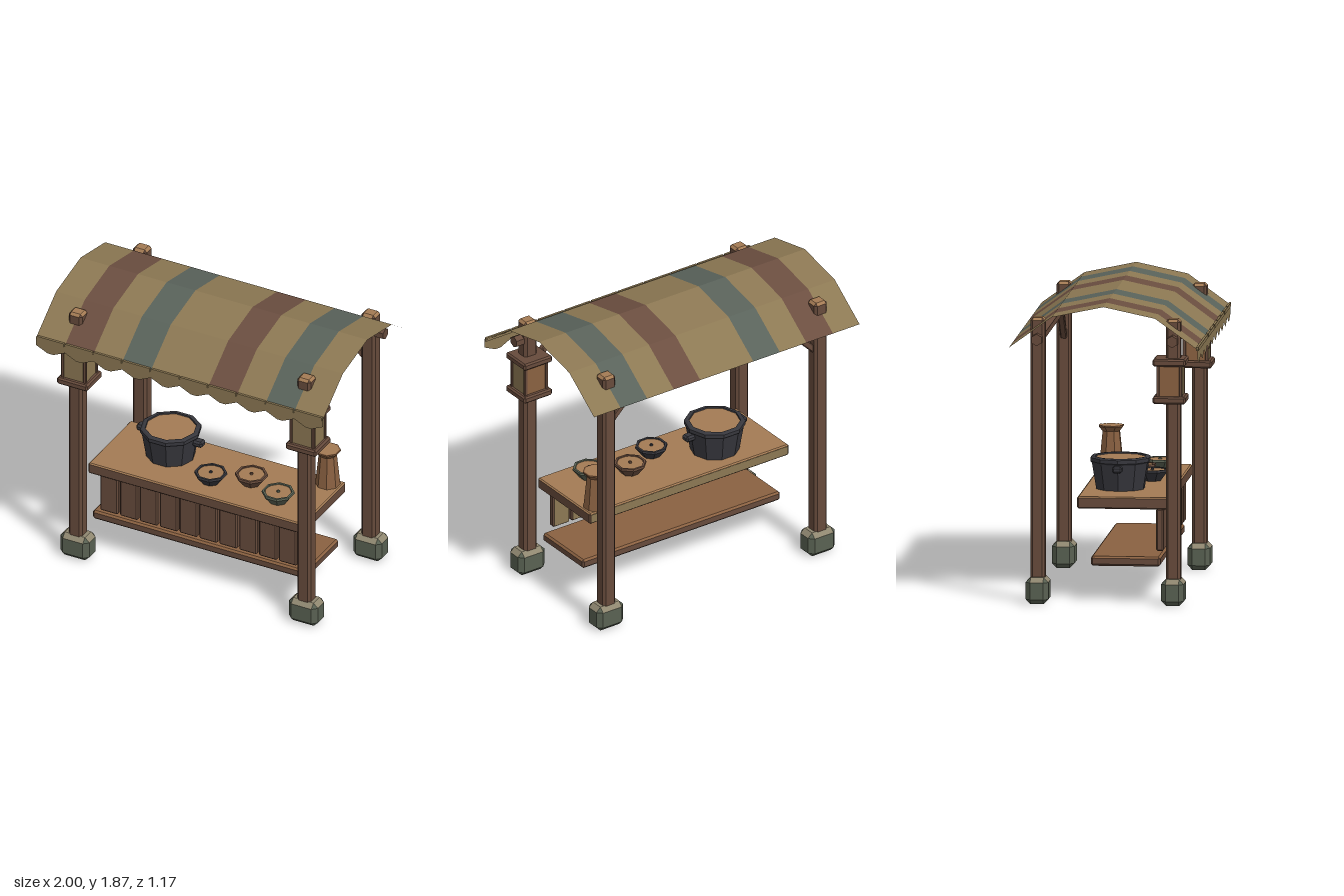
import * as THREE from 'three';
import { ConvexGeometry } from 'three/addons/geometries/ConvexGeometry.js';

const mat = (name, color, side = THREE.FrontSide) => {
  const m = new THREE.MeshStandardMaterial({ color, flatShading: true, side });
  m.name = name;
  return m;
};

export function createModel() {
  const root = new THREE.Group();
  root.name = 'marketStall';
  const tan = mat('tanCloth', 0x8c7853, THREE.DoubleSide);
  const red = mat('redBrownCloth', 0x6b4e40, THREE.DoubleSide);
  const green = mat('greenCloth', 0x59625a, THREE.DoubleSide);
  const wood = mat('darkWood', 0x674b3c);
  const midWood = mat('midWood', 0x8a6141);
  const paleWood = mat('paleWood', 0xa47b54);
  const stone = mat('stone', 0x596152);
  const paleStone = mat('paleStone', 0x8f8770);
  const iron = mat('iron', 0x37373d);

  const add = (name, geo, material, x = 0, y = 0, z = 0, parent = root) => {
    const m = new THREE.Mesh(geo, material);
    m.name = name;
    m.position.set(x, y, z);
    parent.add(m);
    return m;
  };

  // Box with chamfered edges; faces pointing up use material 1, the rest material 0
  const chamferBox = (w, h, d, b) => {
    const pts = [];
    for (const sx of [-1, 1]) for (const sy of [-1, 1]) for (const sz of [-1, 1]) {
      const p = [w / 2, h / 2, d / 2];
      for (let k = 0; k < 3; k++) {
        const q = p.map((v, i) => (i === k ? v : v - b));
        pts.push(new THREE.Vector3(q[0] * sx, q[1] * sy, q[2] * sz));
      }
    }
    const geo = new ConvexGeometry(pts);
    const n = geo.attributes.normal;
    for (let i = 0; i < n.count; i += 3) geo.addGroup(i, 3, n.getY(i) > 0.6 ? 1 : 0);
    return geo;
  };
  const block = (name, x, y, z, w, h, d, b, side, top = side, parent = root) =>
    add(name, chamferBox(w, h, d, b), [side, top], x, y, z, parent);

  // Posts, stone feet and braces
  const postX = 0.797, frontZ = 0.414, backZ = -0.424;
  for (const z of [frontZ, backZ]) {
    for (const s of [-1, 1]) {
      block('post', s * postX, 0.94, z, 0.096, 1.67, 0.09, 0.016, wood, paleWood);
      block('foot', s * postX, 0.0825, z, 0.2, 0.165, 0.14, 0.03, stone, paleStone);
      const brace = block('brace', s * 0.68, 1.523, z, 0.32, 0.042, 0.04, 0.006, wood);
      brace.rotation.z = -s * Math.PI / 4;
    }
    const beam = add('roofBeam', new THREE.CylinderGeometry(0.037, 0.037, 1.8, 6), wood, 0, 1.645, z);
    beam.rotation.set(0, 0, Math.PI / 2);
    beam.geometry.rotateY(Math.PI / 2);
  }

  // Lanterns around the front posts
  for (const s of [-1, 1]) {
    const g = new THREE.Group();
    g.name = 'lantern';
    g.position.set(s * postX, 0, 0.395);
    root.add(g);
    for (const y of [1.28, 1.513])
      block('lanternCap', 0, y, 0, 0.212, 0.046, 0.204, 0.01, wood, wood, g);
    for (const a of [-1, 1]) for (const b of [-1, 1])
      block('lanternCorner', a * 0.077, 1.396, b * 0.07, 0.02, 0.2, 0.02, 0.003, wood, wood, g);
    for (const d of [-1, 1]) {
      const m = d > 0 ? tan : midWood;
      add('lanternPane', new THREE.BoxGeometry(0.14, 0.19, 0.008), m, 0, 1.396, d * 0.071, g);
      add('lanternPane', new THREE.BoxGeometry(0.008, 0.19, 0.13), m, d * 0.077, 1.396, 0, g);
    }
  }

  // Arched striped canopy
  const stripes = [tan, red, tan, green, tan, tan, red, tan, green, tan];
  const R = 0.788, ridge = 1.87, sweep = 0.836;
  stripes.forEach((m, i) => {
    const x = -0.9 + i * 0.2;
    const geo = new THREE.PlaneGeometry(0.2, 2, 1, 4).rotateX(-Math.PI / 2);
    const p = geo.attributes.position;
    for (let k = 0; k < p.count; k++) {
      const a = p.getZ(k) * sweep;
      p.setY(k, ridge - R * (1 - Math.cos(a)));
      p.setZ(k, R * Math.sin(a));
    }
    geo.computeVertexNormals();
    add('canopyStripe', geo, m, x);

    // Scalloped valance and its hem strip
    const flap = new THREE.Shape([[-0.1, 1.62], [-0.1, 1.56], [-0.02, 1.522], [0.02, 1.522], [0.1, 1.56], [0.1, 1.62]]
      .map(([a, b]) => new THREE.Vector2(a, b)));
    add('valanceFlap', new THREE.ShapeGeometry(flap), tan, x, 0, 0.582);
    add('hemStrip', new THREE.BoxGeometry(0.19, 0.024, 0.014), tan, x, 1.616, 0.58);
  });

  // Counter, front planks and lower shelf
  block('counter', 0, 0.618, 0.092, 1.5, 0.074, 0.557, 0.008, wood, paleWood);
  add('counterBackEdge', new THREE.BoxGeometry(1.48, 0.056, 0.004), tan, 0, 0.618, -0.187);
  block('lowerShelf', 0, 0.255, 0.11, 1.49, 0.06, 0.43, 0.012, wood, midWood);
  for (let i = 0; i < 10; i++) {
    const x = (i - 4.5) * 0.1385;
    block('frontPlank', x, 0.444, 0.317, 0.126, 0.262, 0.045, 0.009, wood);
    add('plankBack', new THREE.BoxGeometry(0.108, 0.244, 0.004), tan, x, 0.444, 0.294);
  }

  // Vessels turned from a profile, with a flat filling
  const vessel = (name, x, z, sides, profile, m, fillR, fillY) => {
    const g = new THREE.Group();
    g.name = name;
    g.position.set(x, 0.653, z);
    root.add(g);
    const pts = profile.map(([r, y]) => new THREE.Vector2(r, y));
    add(name + 'Body', new THREE.LatheGeometry(pts, sides, Math.PI / sides), m, 0, 0, 0, g);
    const fill = new THREE.CircleGeometry(fillR, sides).rotateX(-Math.PI / 2);
    add(name + 'Filling', fill, paleWood, 0, fillY, 0, g);
    return g;
  };

  // Cooking pot with two lugs
  const pot = vessel('pot', -0.35, 0.04, 10,
    [[0, 0], [0.152, 0], [0.18, 0.165], [0.19, 0.175], [0.19, 0.198], [0.178, 0.205], [0.16, 0.205], [0.155, 0.18]],
    iron, 0.165, 0.196);
  for (const s of [-1, 1])
    block('potHandle', s * 0.195, 0.143, 0, 0.07, 0.042, 0.062, 0.012, iron, iron, pot);

  // Serving bowls
  [[0.015, 0.2, iron], [0.245, 0.1, wood], [0.485, 0.2, stone]].forEach(([x, z, m]) => {
    const bowl = vessel('bowl', x, z, 8,
      [[0, 0], [0.055, 0], [0.103, 0.06], [0.1, 0.073], [0.086, 0.073], [0.08, 0.055]], m, 0.086, 0.068);
    add('bowlGarnish', new THREE.CylinderGeometry(0.008, 0.012, 0.012, 6), m, 0, 0.073, 0, bowl);
  });

  // Pitcher
  vessel('pitcher', 0.66, -0.12, 8,
    [[0, 0], [0.078, 0], [0.056, 0.215], [0.08, 0.243], [0.08, 0.252], [0.07, 0.252]], midWood, 0.075, 0.251);

  return root;
}
